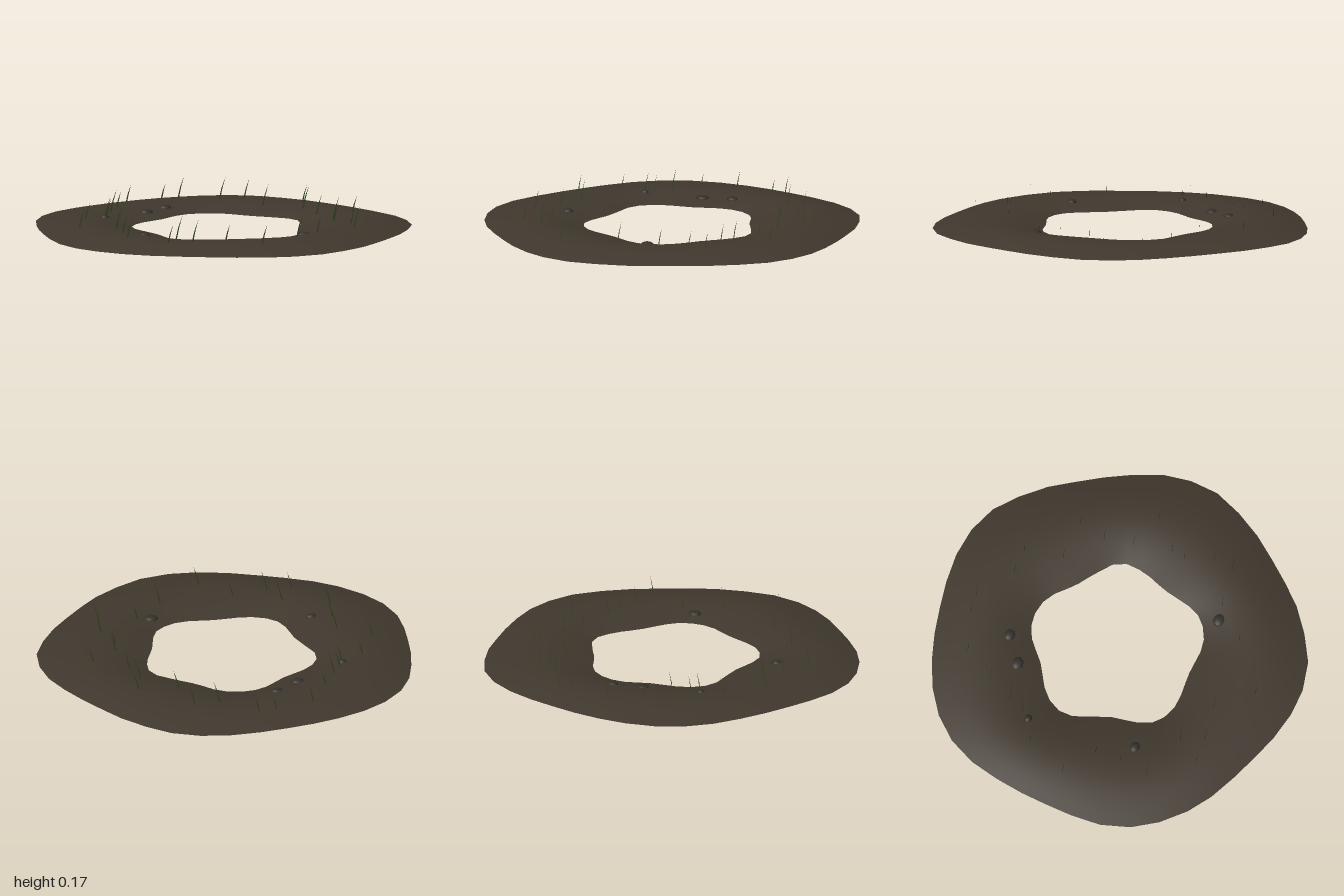
import * as THREE from 'three';

const material = (name, color, extra = {}) => Object.assign(new THREE.MeshStandardMaterial({ color, ...extra }), { name });

// Outlines as x, z pairs, clockwise seen from above, starting at the back
const OUTER = [
  -0.03, -0.99, 0.13, -1, 0.29, -0.98, 0.44, -0.92, 0.56, -0.82, 0.67, -0.7, 0.75, -0.58, 0.835, -0.445,
  0.91, -0.305, 0.97, -0.16, 0.995, -0.01, 0.985, 0.145, 0.925, 0.295, 0.845, 0.435, 0.75, 0.56, 0.66, 0.67,
  0.56, 0.78, 0.43, 0.88, 0.29, 0.96, 0.13, 0.995, -0.02, 0.99, -0.18, 0.955, -0.32, 0.905, -0.46, 0.85,
  -0.61, 0.78, -0.735, 0.695, -0.85, 0.58, -0.935, 0.45, -0.985, 0.295, -0.995, 0.135, -0.99, -0.015, -0.98, -0.16,
  -0.957, -0.315, -0.92, -0.47, -0.85, -0.615, -0.745, -0.735, -0.615, -0.825, -0.47, -0.89, -0.325, -0.935, -0.18, -0.965,
];
const INNER = [
  -0.02, -0.487, 0.065, -0.47, 0.13, -0.43, 0.21, -0.35, 0.305, -0.285, 0.395, -0.215, 0.43, -0.16, 0.43, -0.09,
  0.415, -0.015, 0.378, 0.08, 0.362, 0.135, 0.345, 0.23, 0.32, 0.305, 0.277, 0.355, 0.207, 0.397, 0.128, 0.41,
  -0.02, 0.4, -0.165, 0.41, -0.245, 0.4, -0.31, 0.365, -0.356, 0.315, -0.383, 0.23, -0.393, 0.135, -0.436, 0.02,
  -0.484, -0.1, -0.473, -0.16, -0.447, -0.215, -0.394, -0.27, -0.255, -0.355, -0.165, -0.44, -0.1, -0.475,
];

// Distance from the centre to an outline in direction (dx, dz)
function reach(outline, dx, dz) {
  const n = outline.length / 2;
  for (let i = 0; i < n; i++) {
    const k = (i + 1) % n;
    const ax = outline[2 * i], az = outline[2 * i + 1];
    const ex = outline[2 * k] - ax, ez = outline[2 * k + 1] - az;
    const det = dx * ez - dz * ex;
    if (Math.abs(det) < 1e-9) continue;
    const r = (ax * ez - az * ex) / det;
    const u = (ax * dz - az * dx) / det;
    if (r > 0 && u >= -1e-6 && u <= 1 + 1e-6) return r;
  }
  return 0.5;
}

// Height of the bank at a ground position
const HEIGHT = 0.043;
function bankHeight(x, z) {
  const r = Math.hypot(x, z);
  const inner = reach(INNER, x / r, z / r), outer = reach(OUTER, x / r, z / r);
  return HEIGHT * Math.sin(Math.PI * THREE.MathUtils.clamp((r - inner) / (outer - inner), 0, 1));
}

// Open ring sheet that rises from both edges to a low rounded crest
function bankGeometry() {
  const rows = 12, count = OUTER.length / 2, pos = [], index = [];
  for (let i = 0; i < count; i++) {
    const x = OUTER[2 * i], z = OUTER[2 * i + 1], r = Math.hypot(x, z);
    const inner = reach(INNER, x / r, z / r);
    for (let j = 0; j <= rows; j++) {
      const t = j / rows, s = THREE.MathUtils.lerp(r, inner, t) / r;
      pos.push(x * s, HEIGHT * Math.sin(Math.PI * t), z * s);
      if (j === rows) continue;
      const a = i * (rows + 1) + j, b = ((i + 1) % count) * (rows + 1) + j;
      index.push(a, a + 1, b, b, a + 1, b + 1);
    }
  }
  const g = new THREE.BufferGeometry();
  g.setAttribute('position', new THREE.Float32BufferAttribute(pos, 3));
  g.setIndex(index);
  g.computeVertexNormals();
  return g;
}

// Flat leaning blade in the xy plane
function bladeGeometry(h) {
  const s = new THREE.Shape();
  s.moveTo(-0.004, 0);
  s.lineTo(0.004, 0);
  s.lineTo(0.1 * h + 0.004, 0.5 * h);
  s.lineTo(0.27 * h, h);
  s.lineTo(0.1 * h - 0.002, 0.5 * h);
  return new THREE.ShapeGeometry(s);
}

const BLADES = [
  [-0.145, -0.8], [-0.05, -0.81], [-0.355, -0.73], [0.14, -0.67], [0.275, -0.67], [-0.45, -0.56],
  [0.325, -0.465], [0.54, -0.455], [0.505, -0.305], [0.54, -0.15], [0.72, -0.08], [0.58, 0.055],
  [0.565, 0.13], [0.62, 0.28], [0.61, 0.39], [0.4, 0.42], [0.25, 0.58], [0.01, 0.775],
  [-0.145, 0.6], [-0.335, 0.63], [-0.47, 0.635], [-0.395, 0.51], [-0.64, 0.42], [-0.625, 0.26],
  [-0.625, 0.12], [-0.795, 0], [-0.705, -0.225], [-0.585, -0.285], [-0.565, -0.33], [-0.52, -0.42],
];
// Pebbles: x, z, radius
const TOP_PEBBLES = [
  [-0.32, -0.46, 0.038], [-0.19, -0.56, 0.034], [0.32, 0.435, 0.038], [-0.52, 0.3, 0.032], [-0.59, -0.285, 0.025],
];
const LOW_PEBBLES = [
  [-0.21, -0.68], [-0.38, -0.64], [-0.68, -0.38], [-0.6, 0], [-0.54, 0.14], [-0.44, 0.46], [-0.19, 0.6],
  [0.145, 0.54], [0.375, 0.48], [0.5, 0.34], [0.61, -0.04], [0.5, -0.25], [0.44, -0.53], [0.2, -0.6],
];

export function createModel() {
  const model = new THREE.Group();
  const mud = material('mud brown', 0x40382e, { side: THREE.DoubleSide });
  const stone = material('dark stone', 0x33302a);
  const grass = material('grass green', 0x33421e, { side: THREE.DoubleSide });

  const add = (parent, name, geometry, mat) => {
    const mesh = new THREE.Mesh(geometry, mat);
    mesh.name = name;
    parent.add(mesh);
    return mesh;
  };
  const group = (name) => {
    const g = new THREE.Group();
    g.name = name;
    model.add(g);
    return g;
  };

  add(model, 'mudBank', bankGeometry(), mud);

  // Pebbles poking out of the inner slope
  const pebbles = group('pebbles');
  const upper = new THREE.SphereGeometry(1, 12, 5, 0, Math.PI * 2, 0, Math.PI / 2);
  for (const [x, z, r] of TOP_PEBBLES) {
    const p = add(pebbles, 'pebble', upper, stone);
    p.position.set(x, bankHeight(x, z) - 0.004, z);
    p.scale.set(r, 0.018, r * 0.85);
  }

  // Pebbles buried beneath the crest
  const whole = new THREE.SphereGeometry(1, 12, 8);
  for (const [x, z] of LOW_PEBBLES) {
    const p = add(pebbles, 'buriedPebble', whole, stone);
    p.position.set(x, bankHeight(x, z) - 0.02, z);
    p.scale.set(0.034, 0.017, 0.03);
  }

  // Sparse grass blades, all leaning the same way
  const blades = group('grass');
  BLADES.forEach(([x, z], i) => {
    const base = bankHeight(x, z) - 0.006;
    const blade = add(blades, 'grassBlade', bladeGeometry(0.085 + 0.05 * ((i * 0.618) % 1)), grass);
    blade.position.set(x - 0.005, base, z);
  });

  return model;
}
